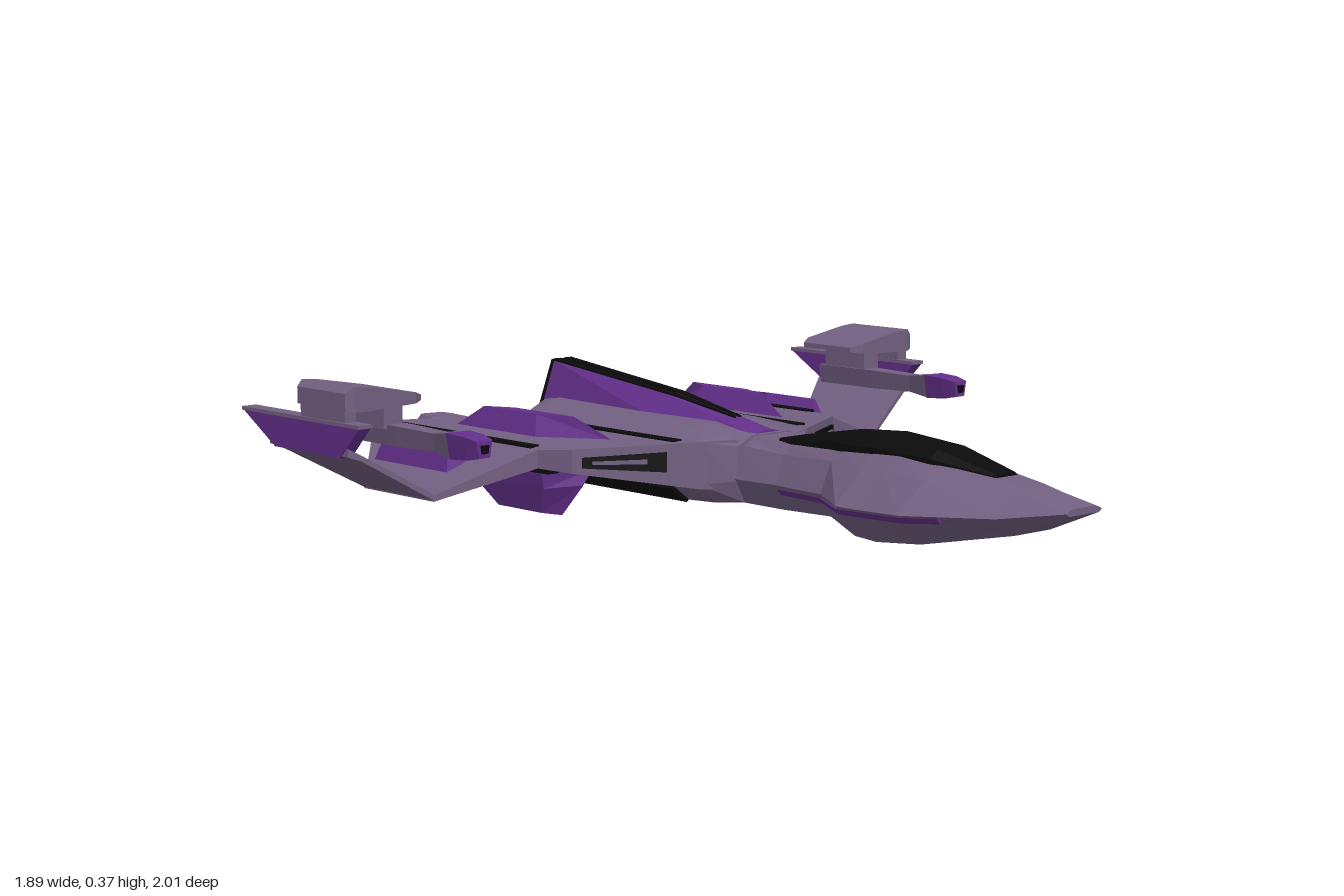
import * as THREE from 'three';

const mauve = new THREE.MeshStandardMaterial({ color: 0x715f80 });
mauve.name = 'mauve hull';
const purple = new THREE.MeshStandardMaterial({ color: 0x632f8a });
purple.name = 'purple panel';
const black = new THREE.MeshStandardMaterial({ color: 0x0b0b0c });
black.name = 'black trim';

// Flat-faced solid through rings of [x, y, z] points, turned outward by its signed volume.
function loft(rings) {
  const n = rings[0].length, tris = [];
  for (let i = 0; i + 1 < rings.length; i++) {
    for (let j = 0; j < n; j++) {
      const k = (j + 1) % n, a = rings[i], b = rings[i + 1];
      tris.push([a[j], a[k], b[k]], [a[j], b[k], b[j]]);
    }
  }
  const first = rings[0], last = rings[rings.length - 1];
  for (let j = 1; j + 1 < n; j++) {
    tris.push([first[0], first[j + 1], first[j]], [last[0], last[j], last[j + 1]]);
  }
  const c = new THREE.Vector3(...first[0]);
  let volume = 0;
  for (const t of tris) {
    const [p, q, r] = t.map(v => new THREE.Vector3(...v).sub(c));
    volume += p.dot(q.cross(r));
  }
  if (volume < 0) tris.forEach(t => t.reverse());
  const g = new THREE.BufferGeometry();
  g.setAttribute('position', new THREE.Float32BufferAttribute(tris.flat(2), 3));
  g.computeVertexNormals();
  return g;
}

const shift = (ring, dx, dy, dz) => ring.map(([x, y, z]) => [x + dx, y + dy, z + dz]);

// Closed symmetric section from right-half points, listed top to bottom.
const section = (z, half) => [
  ...half.map(([x, y]) => [x, y, z]),
  ...half.slice().reverse().map(([x, y]) => [-x, y, z]),
];

export function createModel() {
  const ship = new THREE.Group();
  ship.name = 'starship';

  function add(name, material, rings) {
    const mesh = new THREE.Mesh(loft(rings), material);
    mesh.name = name;
    ship.add(mesh);
  }
  function addPair(name, material, rings) {
    add(name + 'Left', material, rings);
    add(name + 'Right', material, rings.map(r => r.map(([x, y, z]) => [-x, y, z])));
  }
  const box = (x0, x1, y0, y1, z0, z1) => [z0, z1].map(z =>
    [[x0, y0, z], [x1, y0, z], [x1, y1, z], [x0, y1, z]]);

  // Head and neck
  add('headAndNeck', mauve, [
    section(1.0, [[.03, .156], [.045, .154], [.06, .147], [.05, .14]]),
    section(.85, [[.035, .188], [.055, .178], [.125, .125], [.06, .08]]),
    section(.63, [[.06, .215], [.12, .185], [.205, .115], [.13, .04]]),
    section(.5, [[.07, .225], [.12, .19], [.205, .112], [.14, .03]]),
    section(.43, [[.07, .225], [.12, .19], [.205, .112], [.14, .035]]),
    section(.3, [[.06, .215], [.09, .19], [.125, .115], [.09, .058]]),
    section(.13, [[.055, .21], [.08, .185], [.11, .115], [.08, .052]]),
    section(-.03, [[.06, .215], [.09, .195], [.12, .115], [.09, .055]]),
  ]);

  // Canopy
  add('canopy', black, [
    [.77, .035, .03, .19, .205], [.6, .07, .045, .2, .245], [.42, .077, .045, .2, .26],
    [.28, .063, .04, .2, .252], [.08, .055, .045, .19, .218],
  ].map(([z, base, top, y0, y1]) => section(z, [[top, y1], [base, (y0 + y1) / 2 + .003], [base, y0]])));

  // Purple line below each cheek
  addPair('cheekStripe', purple, [
    [.72, .172, .116], [.63, .203, .11], [.43, .203, .106], [.3, .125, .106], [.14, .11, .106],
  ].map(([z, x, y]) => [[x + .002, y, z], [x - .008, y - .014, z], [x - .022, y - .006, z]]));

  // Central hull
  add('hull', mauve, [
    section(.0, [[.06, .217], [.11, .195], [.115, .11], [.09, .055]]),
    section(-.06, [[.08, .222], [.18, .206], [.18, .1], [.13, .052]]),
    section(-.15, [[.085, .235], [.2, .206], [.2, .095], [.14, .05]]),
    section(-.73, [[.09, .24], [.19, .206], [.19, .095], [.14, .052]]),
    section(-.77, [[.085, .235], [.12, .2], [.12, .1], [.1, .062]]),
  ]);
  add('hullRearTrim', black, box(-.1, .1, .065, .1, -.778, -.768));
  addPair('bellyStripe', black, [0, -.006].map(d => shift(
    [[.145, .052, -.14], [.195, .091, -.14], [.187, .092, -.72], [.145, .053, -.72]], -d, d, 0)));

  // Spine fairing with twin stripes and a framed exhaust
  add('spine', purple, [
    section(-.01, [[.012, .224], [.05, .215], [.06, .19]]),
    section(-.35, [[.026, .282], [.075, .225], [.085, .19]]),
    section(-.8, [[.03, .33], [.07, .22], [.08, .18]]),
  ]);
  addPair('spineStripe', black, [[-.12, .243, .012], [-.35, .282, .027], [-.802, .33, .031]].map(([z, y, x]) =>
    [[.006, y - .003, z], [x, y - .003, z], [x, y + .004, z], [.006, y + .004, z]]));
  add('exhaustFrame', black, [-.798, -.806].map(z =>
    section(z, [[.033, .332], [.075, .22], [.085, .15]])));
  add('exhaustPanel', mauve, [-.804, -.809].map(z =>
    section(z, [[.03, .27], [.055, .21], [.062, .165]])));

  // Wings: stations of x, front z, back z, top y, bottom y
  addPair('wing', mauve, [
    [.1, -.01, -.72, .208, .09], [.18, -.055, -.73, .206, .09], [.44, -.23, -.95, .195, .137],
    [.48, -.31, -.98, .19, .145], [.74, -.38, -.66, .1, .085],
  ].map(([x, f, b, t, u]) => [[x, t, f], [x, t, b], [x, u, b], [x, u, f]]));

  // Black strips on the wings
  addPair('innerWingStripe', black, box(.195, .222, .2, .209, -.7, -.11));
  addPair('outerWingStripe', black, box(.452, .478, .188, .197, -.92, -.34));
  addPair('lowerWingStripe', black, box(.44, .475, .133, .142, -.92, -.28));

  // Intakes along the slanted leading edges
  const edge = x => -.055 - (x - .18) * .673;
  const intake = [[.25, .135, edge(.25)], [.42, .15, edge(.42)], [.42, .175, edge(.42)], [.25, .184, edge(.25)]];
  addPair('intake', black, [intake, shift(intake, .003, 0, .005)]);
  const lip = [[.29, .157, edge(.29)], [.4, .158, edge(.4)], [.4, .166, edge(.4)], [.29, .168, edge(.29)]];
  addPair('intakeBar', mauve, [lip, shift(lip, .005, 0, .008)]);

  // Ridged purple blisters above and below the wings
  addPair('upperBlister', purple, [
    [[.38, .19, -.775], [.285, .195, -.63], [.285, .195, -.25], [.38, .19, -.445]].map(([x, y, z]) => [x, y, -1.025 - z]),
    [[.355, .25, -.4], [.31, .25, -.47], [.31, .25, -.66], [.355, .25, -.57]],
  ].map((r, i) => i ? [[.355, .25, -.68], [.318, .25, -.6], [.318, .25, -.37], [.355, .25, -.47]]
    : r.map(([x, y, z]) => [x, y, -1.025 - z])));
  addPair('lowerBlister', purple, [
    [[.385, .13, -.71], [.285, .12, -.6], [.285, .12, -.34], [.385, .13, -.42]],
    [[.375, .07, -.7], [.305, .08, -.6], [.305, .08, -.35], [.375, .07, -.42]],
    [[.36, .005, -.62], [.325, 0, -.58], [.325, 0, -.41], [.36, .005, -.45]],
  ]);
  addPair('outerBlister', purple, [
    [[.578, .15, -.46], [.642, .125, -.46], [.642, .125, -.76], [.605, .14, -.76], [.578, .15, -.63]],
    [[.612, .2, -.48], [.62, .195, -.48], [.62, .195, -.74], [.615, .198, -.74], [.612, .2, -.66]],
  ]);

  // Rear thruster pods, splayed outward
  addPair('thrusterPod', mauve, [
    [.27, -.78, .03], [.285, -.87, .04], [.3, -.91, .07], [.292, -.955, .066], [.285, -.995, .05],
  ].map(([x, z, w]) => [
    [x - w, .17, z + w * .2], [x - w * .6, .195, z + w * .1], [x + w * .6, .195, z - w * .1],
    [x + w, .17, z - w * .2], [x + w * .6, .148, z - w * .1], [x - w * .6, .148, z + w * .1],
  ]));

  // Upswept winglets
  addPair('winglet', mauve, [
    [.735, .1, .085, -.38, -.66], [.91, .208, .194, -.43, -.765], [.94, .225, .205, -.44, -.765],
  ].map(([x, t, u, f, b]) => [[x, t, f], [x, t, b], [x, u, b], [x, u, f]]));

  // Wingtip blades with pale caps
  const blade = [[.942, .2, -.47], [.942, .278, -.39], [.942, .278, -.875], [.942, .2, -.74]];
  addPair('tipBlade', purple, [blade, shift(blade, -.034, 0, 0)]);
  addPair('tipBladeCap', mauve, box(.905, .945, .276, .285, -.875, -.39));
  addPair('tipPylon', mauve, box(.908, .94, .28, .34, -.63, -.45));

  // Overhanging wingtip slabs
  addPair('tipSlab', mauve, [
    [.72, .333, .32, -.45, -.63], [.75, .343, .316, -.43, -.645], [.88, .366, .31, -.43, -.645],
    [.925, .37, .31, -.43, -.645], [.945, .355, .315, -.44, -.635],
  ].map(([x, t, u, f, b]) => [[x, t, f], [x, t, b], [x, u, b], [x, u, f]]));

  // Cannons slung below the slabs
  const ring = (z, w, h, y = .245) => [
    [.795 - w, y + h, z], [.795 + w, y + h, z], [.795 + w * .7, y - h, z], [.795 - w * .7, y - h, z]];
  addPair('cannonPylon', mauve, box(.775, .83, .26, .325, -.6, -.45));
  addPair('cannonBarrel', mauve, [ring(-.62, .026, .025), ring(-.42, .026, .025), ring(-.28, .022, .022), ring(-.21, .033, .03)]);
  addPair('cannonTip', purple, [ring(-.21, .034, .031), ring(-.15, .03, .028), ring(-.11, .023, .02)]);
  addPair('cannonMuzzle', black, [ring(-.112, .012, .01), ring(-.106, .012, .01)]);

  return ship;
}
